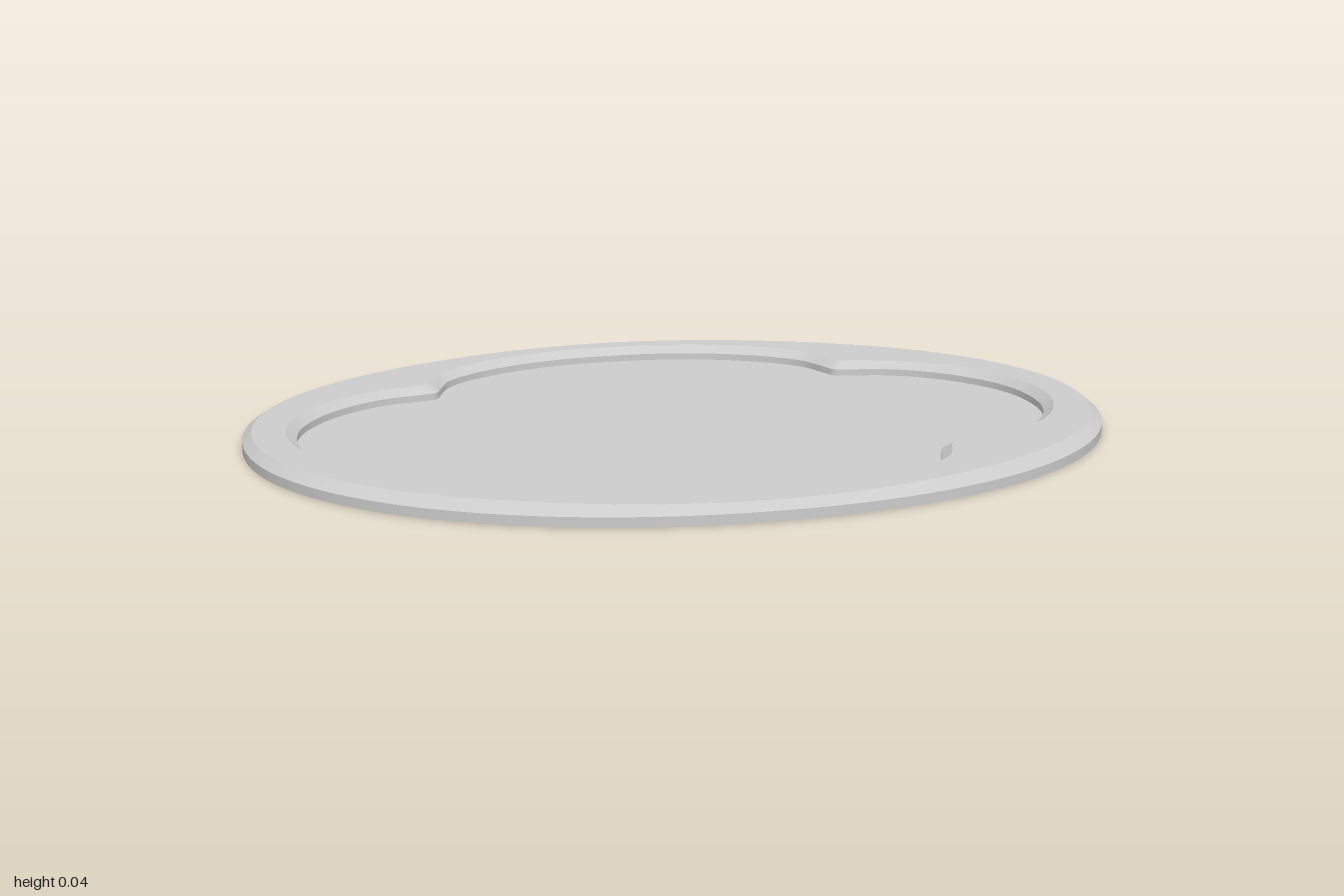
import * as THREE from 'three';

const STEPS = 6; // samples per control point

// Quarter outlines of the four-lobed opening, from the x axis to the z axis
const LOWER = [[0.878, 0], [0.863, 0.11], [0.81, 0.215], [0.727, 0.304], [0.636, 0.358], [0.53, 0.383],
  [0.505, 0.393], [0.492, 0.42], [0.457, 0.503], [0.374, 0.578], [0.255, 0.638], [0.125, 0.672], [0, 0.68]];
const UPPER = [[0.903, 0], [0.887, 0.11], [0.832, 0.227], [0.745, 0.32], [0.645, 0.376], [0.547, 0.402],
  [0.527, 0.412], [0.513, 0.432], [0.478, 0.515], [0.388, 0.598], [0.262, 0.66], [0.128, 0.694], [0, 0.703]];

// Mirror a quarter outline into a smooth closed loop of [x, z] points
function lobedLoop(quarter) {
  const forward = quarter.slice(0, -1);
  const backward = quarter.slice(1).reverse();
  const place = (pts, sx, sz) => pts.map(([x, z]) => new THREE.Vector3(x * sx, 0, z * sz));
  const points = [...place(forward, 1, 1), ...place(backward, -1, 1),
    ...place(forward, -1, -1), ...place(backward, 1, -1)];
  const curve = new THREE.CatmullRomCurve3(points, true, 'centripetal');
  return curve.getPoints(points.length * STEPS).slice(0, -1).map((p) => [p.x, p.z]);
}

// Oval rim, sampled at the same directions as a given loop
function ovalLoop(guide, inset) {
  const n = 2.06;
  return guide.map(([x, z]) => {
    const t = Math.atan2(z, x), c = Math.cos(t), s = Math.sin(t);
    const r = Math.pow(Math.pow(Math.abs(c), n) + Math.pow(Math.abs(s) / 0.775, n), -1 / n);
    const d = r - inset * (1 + Math.sin(2 * t) ** 2);
    return [d * c, d * s];
  });
}

// Smooth band between two closed loops at their own heights
function band(a, ya, b, yb) {
  const n = a.length, pos = [], index = [];
  for (let i = 0; i < n; i++) pos.push(a[i][0], ya, a[i][1], b[i][0], yb, b[i][1]);
  for (let i = 0; i < n; i++) {
    const p = 2 * i, q = 2 * ((i + 1) % n);
    index.push(p, p + 1, q, q, p + 1, q + 1);
  }
  const g = new THREE.BufferGeometry();
  g.setAttribute('position', new THREE.Float32BufferAttribute(pos, 3));
  g.setIndex(index);
  g.computeVertexNormals();
  return g;
}

export function createModel() {
  const material = new THREE.MeshStandardMaterial({ color: 0xcccccc });
  const model = new THREE.Group();
  model.name = 'ovalTray';

  const lower = lobedLoop(LOWER);
  const upper = lobedLoop(UPPER);
  const outer = ovalLoop(upper, 0);
  const outerTop = ovalLoop(upper, 0.021);

  // Frame cross-section, going round from the outer foot
  const frame = new THREE.Group();
  frame.name = 'frame';
  const rings = [
    ['outerWall', outer, 0], ['outerBevel', outer, 0.022], ['topFace', outerTop, 0.04],
    ['innerBevel', upper, 0.04], ['innerWall', lower, 0.022], ['underside', lower, 0],
  ];
  rings.forEach(([name, loop, y], i) => {
    const [, next, yNext] = rings[(i + 1) % rings.length];
    const mesh = new THREE.Mesh(band(loop, y, next, yNext), material);
    mesh.name = name;
    frame.add(mesh);
  });
  model.add(frame);

  // Thin floor panel filling the opening
  const shape = new THREE.Shape(lower.map(([x, z]) => new THREE.Vector2(x, z)));
  const floorGeometry = new THREE.ExtrudeGeometry(shape, { depth: 0.003, bevelEnabled: false });
  floorGeometry.rotateX(-Math.PI / 2).translate(0, 0.003, 0);
  const floor = new THREE.Mesh(floorGeometry, material);
  floor.name = 'floorPanel';
  model.add(floor);

  return model;
}
